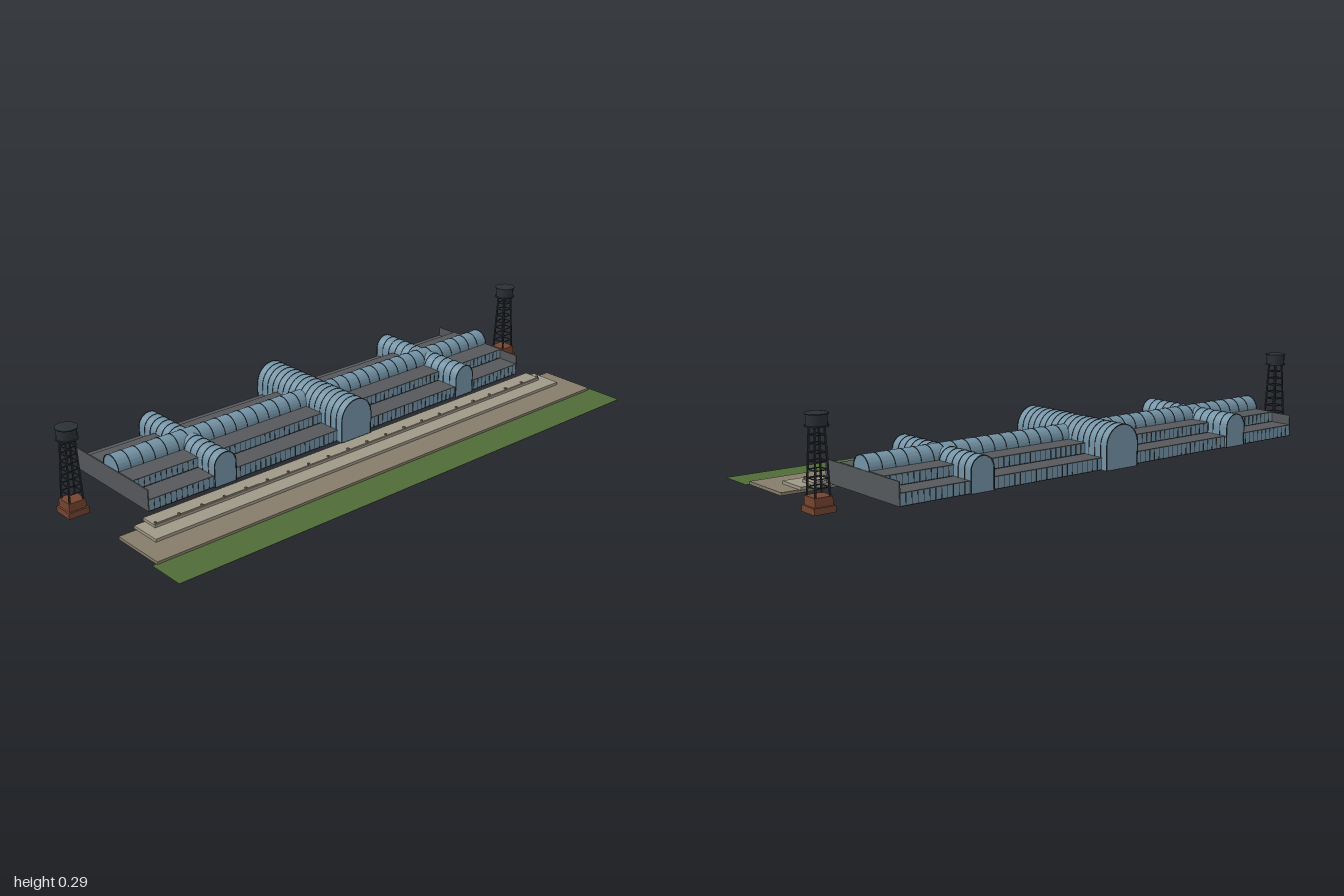
import * as THREE from 'three';
import { mergeGeometries, toCreasedNormals } from 'three/addons/utils/BufferGeometryUtils.js';

const mat = (color) => new THREE.MeshStandardMaterial({ color });
const GLASS = mat(0x7393a6), ROOF = mat(0x55585b), IRON = mat(0x2b3035), BRICK = mat(0x75432f);
const STONE = mat(0x857c6a), PALE = mat(0x9f9888), GRASS = mat(0x4f6b38);
const ZC = -0.17, FLOOR = 0.03, HALF = 0.82;

function add(parent, name, geometry, material) {
  const mesh = new THREE.Mesh(geometry, material);
  mesh.name = name;
  parent.add(mesh);
  return mesh;
}

// Box given by its limits on each axis
function box(x0, x1, y0, y1, z0, z1) {
  return new THREE.BoxGeometry(x1 - x0, y1 - y0, z1 - z0)
    .translate((x0 + x1) / 2, (y0 + y1) / 2, (z0 + z1) / 2);
}

// Round-headed outline standing on y = base
function archPath(path, r, base, spring) {
  path.moveTo(-r, base);
  path.lineTo(r, base);
  path.lineTo(r, spring);
  path.absarc(0, spring, r, 0, Math.PI, false);
  path.lineTo(-r, base);
  return path;
}

// Glazed barrel vault along z, centred on z = 0, with iron ribs
function vault(name, r, base, spring, length, bays) {
  const group = new THREE.Group();
  group.name = name;
  const body = new THREE.ExtrudeGeometry(archPath(new THREE.Shape(), r, base, spring),
    { depth: length, bevelEnabled: false, curveSegments: 12 }).translate(0, 0, -length / 2);
  add(group, name + 'Glass', toCreasedNormals(body, 0.6), GLASS);

  const hoop = archPath(new THREE.Shape(), r + 0.0015, base, spring);
  hoop.holes.push(archPath(new THREE.Path(), r - 0.002, base + 0.001, spring));
  const ribs = [];
  const d = 0.0022;
  for (let i = 0; i <= bays; i++) {
    ribs.push(new THREE.ExtrudeGeometry(hoop, { depth: d, bevelEnabled: false, curveSegments: 12 })
      .translate(0, 0, -length / 2 - d / 2 + (length * i) / bays));
  }
  add(group, name + 'Ribs', mergeGeometries(ribs), IRON);
  return group;
}

// One storey: glass walls, flat roof, and mullions front and back
function storey(parent, name, depth, y0, y1, bays) {
  const h = depth / 2;
  add(parent, name + 'Walls', box(-HALF, HALF, y0, y1 - 0.003, ZC - h, ZC + h), GLASS);
  add(parent, name + 'Roof', box(-HALF, HALF, y1 - 0.003, y1, ZC - h - 0.001, ZC + h + 0.001), ROOF);
  const bars = [];
  for (const s of [-1, 1]) {
    const z = ZC + s * h;
    for (let i = 0; i <= bays; i++) {
      const x = -HALF + (2 * HALF * i) / bays;
      bars.push(box(x - 0.001, x + 0.001, y0, y1 - 0.003, z - 0.001, z + 0.001));
    }
    bars.push(box(-HALF, HALF, y0, y0 + 0.002, z - 0.001, z + 0.001));
  }
  add(parent, name + 'Mullions', mergeGeometries(bars), IRON);
}

// Square bar between two points
function strut(a, b, w) {
  const dir = b.clone().sub(a);
  const q = new THREE.Quaternion().setFromUnitVectors(new THREE.Vector3(0, 1, 0), dir.clone().normalize());
  const mid = a.clone().add(b).multiplyScalar(0.5);
  return new THREE.BoxGeometry(w, dir.length(), w).applyQuaternion(q).translate(mid.x, mid.y, mid.z);
}

function waterTower() {
  const tower = new THREE.Group();
  tower.name = 'waterTower';
  add(tower, 'towerPlinth', box(-0.036, 0.036, 0, 0.02, -0.036, 0.036), BRICK);
  add(tower, 'towerBase', box(-0.03, 0.03, 0.02, 0.048, -0.03, 0.03), BRICK);

  // Tapering iron frame
  const y0 = 0.048, y1 = 0.25, levels = 8;
  const corner = (k, t) => {
    const r = THREE.MathUtils.lerp(0.024, 0.016, t);
    const [sx, sz] = [[1, 1], [1, -1], [-1, -1], [-1, 1]][k % 4];
    return new THREE.Vector3(sx * r, THREE.MathUtils.lerp(y0, y1, t), sz * r);
  };
  const frame = [];
  for (let k = 0; k < 4; k++) {
    frame.push(strut(corner(k, 0), corner(k, 1), 0.005));
    for (let i = 1; i < levels; i++) {
      frame.push(strut(corner(k, i / levels), corner(k + 1, i / levels), 0.003));
    }
  }
  add(tower, 'towerFrame', mergeGeometries(frame), IRON);

  // Tank with rims and a low conical lid
  const drum = (name, rTop, rBottom, a, b) => add(tower, name,
    toCreasedNormals(new THREE.CylinderGeometry(rTop, rBottom, b - a, 16).translate(0, (a + b) / 2, 0), 0.6), IRON);
  drum('tankPlatform', 0.036, 0.036, 0.249, 0.253);
  drum('tank', 0.032, 0.032, 0.253, 0.286);
  drum('tankRim', 0.036, 0.036, 0.285, 0.288);
  drum('tankLid', 0.001, 0.036, 0.288, 0.295);
  return tower;
}

export function createModel() {
  const model = new THREE.Group();
  model.name = 'glassExhibitionHall';

  // Stepped hall with flat end walls
  const hall = new THREE.Group();
  hall.name = 'hall';
  model.add(hall);
  storey(hall, 'lowerStorey', 0.4, FLOOR, 0.07, 80);
  storey(hall, 'upperStorey', 0.24, 0.07, 0.105, 80);
  for (const s of [-1, 1]) {
    const x = s * HALF;
    add(hall, 'endWall', box(x - 0.002, x + 0.002, FLOOR, 0.103, ZC - 0.2, ZC + 0.2), ROOF);
  }

  // Long nave vault and the three crossing transepts
  const nave = vault('nave', 0.043, 0.1, 0.104, 2 * HALF, 36);
  nave.rotation.y = Math.PI / 2;
  nave.position.z = ZC;
  hall.add(nave);

  const centre = vault('centralTransept', 0.065, FLOOR, 0.107, 0.448, 16);
  centre.position.z = ZC;
  hall.add(centre);
  for (const s of [-1, 1]) {
    const side = vault('sideTransept', 0.042, FLOOR, 0.099, 0.414, 13);
    side.position.set(s * 0.535, 0, ZC);
    hall.add(side);
  }

  // Water towers beyond each end
  for (const s of [-1, 1]) {
    const tower = waterTower();
    tower.position.set(s * 0.964, 0, ZC);
    model.add(tower);
  }

  // Terraces stepping down to the lawn
  const grounds = new THREE.Group();
  grounds.name = 'grounds';
  model.add(grounds);
  add(grounds, 'lawn', box(-0.97, 0.97, 0, 0.0015, 0.262, 0.395), GRASS);
  add(grounds, 'lowerTerrace', box(-0.955, 0.955, 0, 0.01, 0.068, 0.267), STONE);
  add(grounds, 'middleTerrace', box(-0.893, 0.893, 0.01, 0.02, 0.057, 0.17), PALE);
  add(grounds, 'upperTerrace', box(-0.856, 0.856, 0.021, 0.03, 0.05, 0.113), PALE);
  add(grounds, 'upperTerraceFooting', box(-0.85, 0.85, 0.019, 0.022, 0.06, 0.11), PALE);

  // Row of pedestals along the terrace edge
  const posts = [];
  for (let i = 0; i < 21; i++) {
    const x = -0.85 + i * 0.085;
    posts.push(box(x - 0.003, x + 0.003, 0.03, 0.038, 0.104, 0.111));
  }
  add(grounds, 'pedestals', mergeGeometries(posts), STONE);
  add(grounds, 'terraceKerb', box(-0.853, 0.853, 0.03, 0.032, 0.105, 0.11), PALE);

  return model;
}
